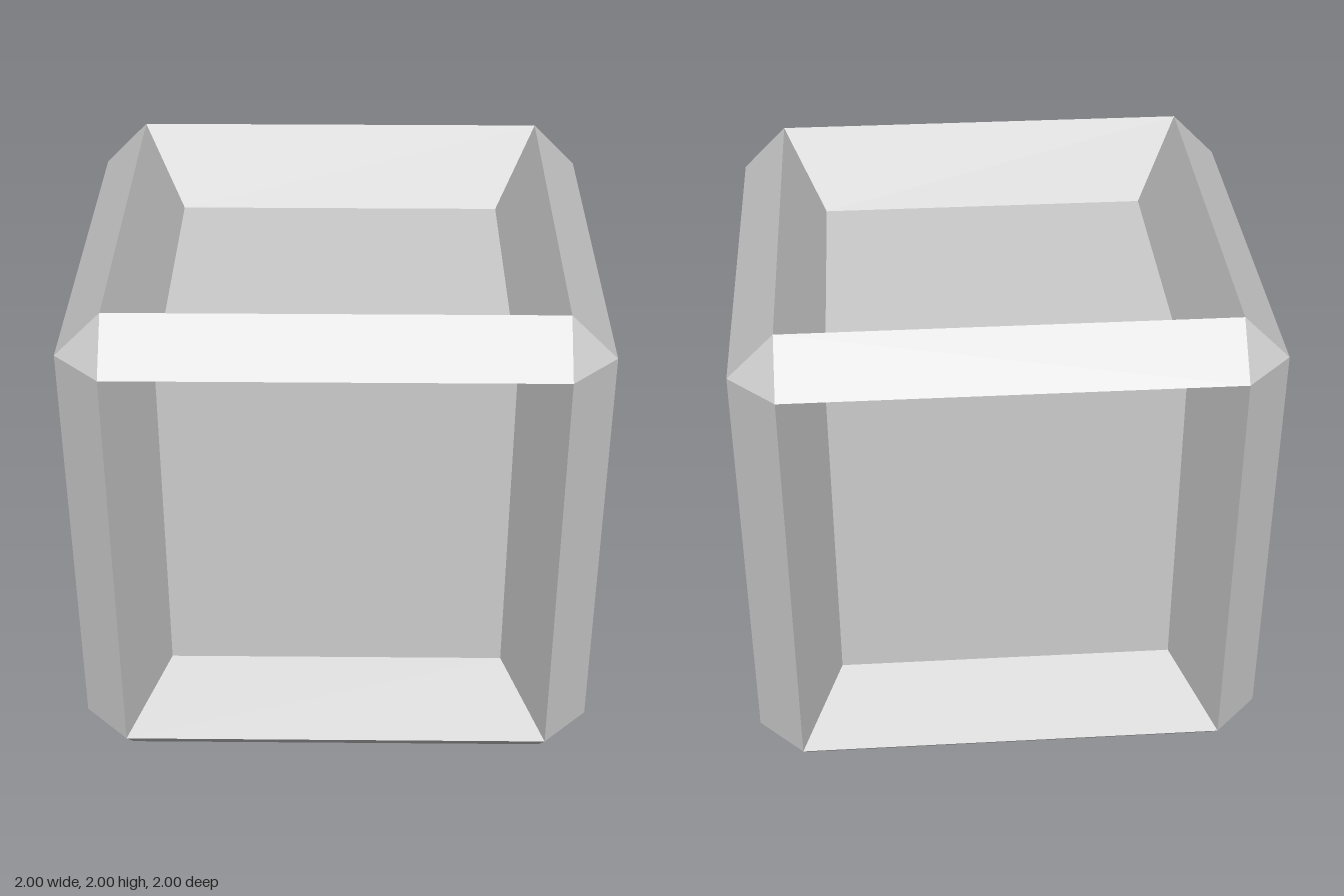
import * as THREE from 'three';

const EDGE = 0.826;   // half width of each opening, where the chamfers start
const PANEL = 0.663;  // half width of the sunken panel
const SUNK = 0.687;   // distance of the panel from the cube's centre
const QUARTER = Math.PI / 2;

const material = new THREE.MeshStandardMaterial({ color: 0xcccccc, flatShading: true });

// Flat convex polygons, each a counter-clockwise list of corners
function facets(name, ...polygons) {
  const points = [];
  for (const p of polygons)
    for (let i = 1; i < p.length - 1; i++) points.push(...p[0], ...p[i], ...p[i + 1]);
  const geometry = new THREE.BufferGeometry();
  geometry.setAttribute('position', new THREE.Float32BufferAttribute(points, 3));
  geometry.computeVertexNormals();
  const mesh = new THREE.Mesh(geometry, material);
  mesh.name = name;
  return mesh;
}

// Square ring corner i, counter-clockwise seen from +z
function corner(i, half, z) {
  const signs = [[-1, -1], [1, -1], [1, 1], [-1, 1]][i % 4];
  return [signs[0] * half, signs[1] * half, z];
}

// One side of the cube: sunken panel with four sloping walls, facing +z
function createSide() {
  const side = new THREE.Group();
  const ring = [0, 1, 2, 3];
  side.add(facets('sunkenPanel', ring.map(i => corner(i, PANEL, SUNK))));
  side.add(facets('recessWalls', ...ring.map(i => [
    corner(i, EDGE, 1), corner(i + 1, EDGE, 1),
    corner(i + 1, PANEL, SUNK), corner(i, PANEL, SUNK),
  ])));
  return side;
}

export function createModel() {
  const model = new THREE.Group();
  model.name = 'recessedCube';
  const cube = new THREE.Group();
  cube.name = 'cube';
  cube.position.y = 1;
  model.add(cube);

  // Six recessed sides
  const sides = {
    frontSide: [0, 0], leftSide: [0, QUARTER], backSide: [0, 2 * QUARTER],
    rightSide: [0, -QUARTER], topSide: [-QUARTER, 0], bottomSide: [QUARTER, 0],
  };
  for (const [name, [rx, ry]] of Object.entries(sides)) {
    const side = createSide();
    side.name = name;
    side.rotation.set(rx, ry, 0);
    cube.add(side);
  }

  // Twelve chamfered edges, four along each axis
  const axes = { uprightEdges: [0, 0], widthEdges: [0, QUARTER], depthEdges: [QUARTER, 0] };
  for (const [name, [rx, rz]] of Object.entries(axes)) {
    const edges = new THREE.Group();
    edges.name = name;
    edges.rotation.set(rx, 0, rz);
    for (let k = 0; k < 4; k++) {
      const edge = facets('chamferedEdge',
        [[EDGE, -EDGE, 1], [1, -EDGE, EDGE], [1, EDGE, EDGE], [EDGE, EDGE, 1]]);
      edge.rotation.y = k * QUARTER;
      edges.add(edge);
    }
    cube.add(edges);
  }

  // Eight triangular corners, four on top and four turned over below
  for (const [name, rx] of [['topCorners', 0], ['bottomCorners', Math.PI]]) {
    const corners = new THREE.Group();
    corners.name = name;
    corners.rotation.x = rx;
    for (let k = 0; k < 4; k++) {
      const cap = facets('cornerCap', [[1, EDGE, EDGE], [EDGE, 1, EDGE], [EDGE, EDGE, 1]]);
      cap.rotation.y = k * QUARTER;
      corners.add(cap);
    }
    cube.add(corners);
  }
  return model;
}
